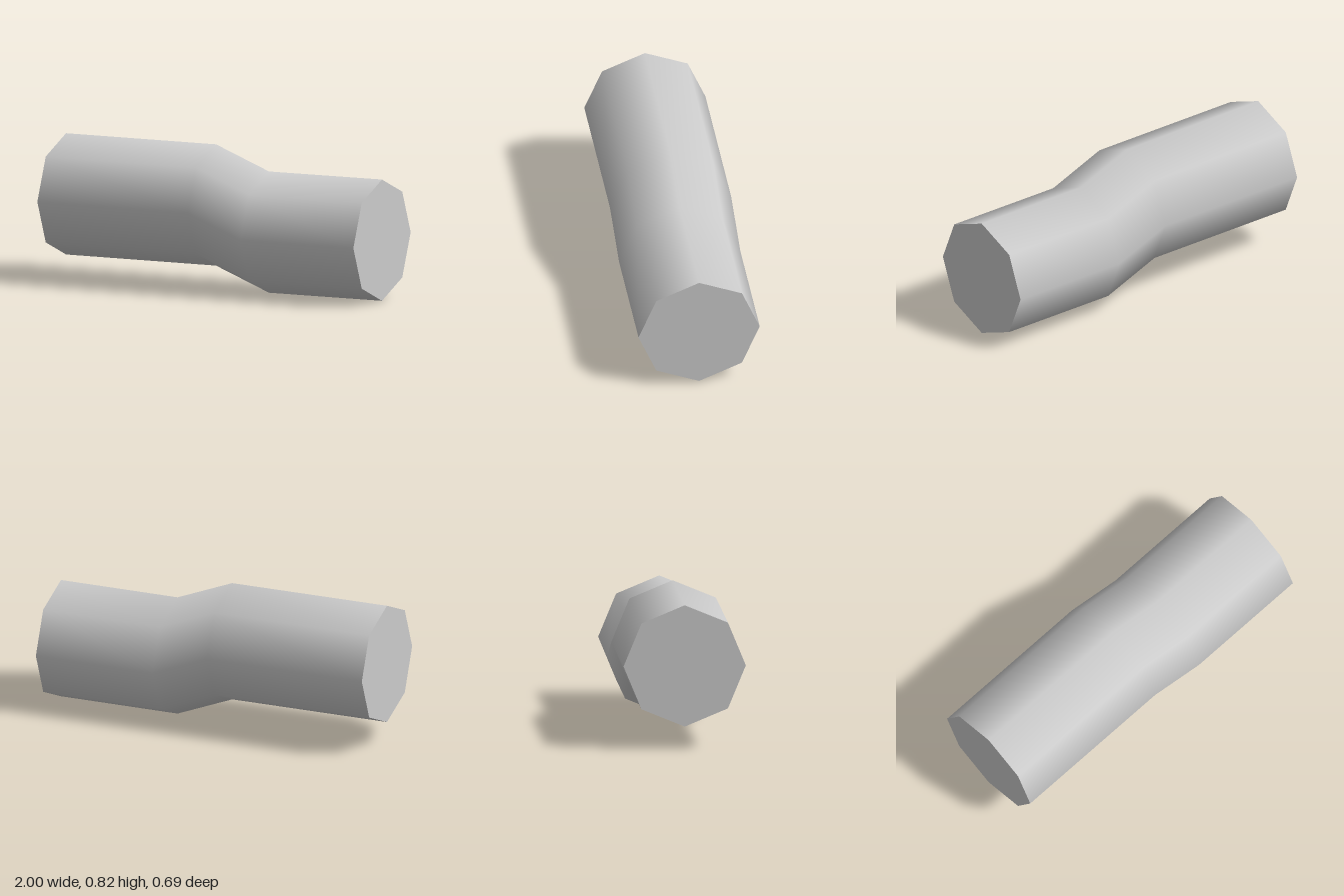
import * as THREE from 'three';

// Stations along the pipe: x, centre height, slope used for the smooth normals
const RADIUS = 0.343;
const STATIONS = [
  [-1, 0.47, 0],
  [-0.05, 0.473, -0.19],
  [0.285, 0.343, -0.19],
  [1, 0.347, 0],
];

export function createModel() {
  const group = new THREE.Group();
  group.name = 'offsetPipe';

  // Eight-sided capped cylinder laid along x
  const geometry = new THREE.CylinderGeometry(RADIUS, RADIUS, 2, 8, STATIONS.length - 1);
  geometry.rotateZ(-Math.PI / 2);

  // Shift each ring to its station, giving the pipe its offset bend
  const pos = geometry.attributes.position;
  const nor = geometry.attributes.normal;
  const n = new THREE.Vector3();
  for (let i = 0; i < pos.count; i++) {
    const ring = Math.round((pos.getX(i) + 1) * (STATIONS.length - 1) / 2);
    const [x, y, slope] = STATIONS[ring];
    pos.setX(i, x);
    pos.setY(i, pos.getY(i) + y);
    n.fromBufferAttribute(nor, i);
    n.x -= slope * n.y;
    n.normalize();
    nor.setXYZ(i, n.x, n.y, n.z);
  }

  const pipe = new THREE.Mesh(geometry, new THREE.MeshStandardMaterial({ color: 0xcccccc }));
  pipe.name = 'pipeBody';
  group.add(pipe);
  return group;
}
